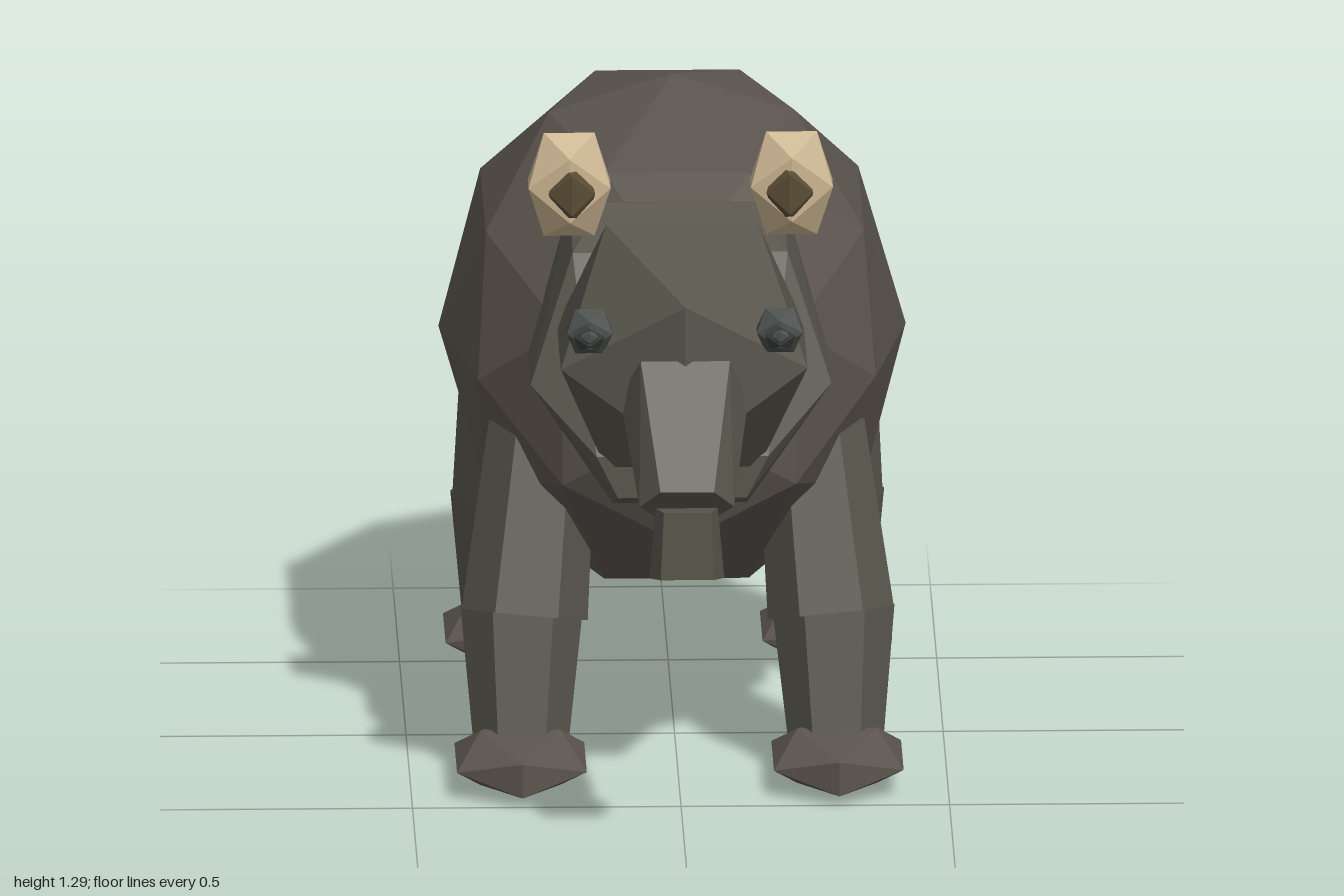
import * as THREE from 'three';
import { ConvexGeometry } from 'three/addons/geometries/ConvexGeometry.js';

function material(name, color) {
  const m = new THREE.MeshStandardMaterial({ color, flatShading: true });
  m.name = name;
  return m;
}

export function createModel() {
  const model = new THREE.Group();
  model.name = 'tapir';

  const hide = material('warm grey hide', 0x5b544e);
  const limb = material('olive grey hide', 0x58564c);
  const earTan = material('ear tan', 0xcbb591);
  const earDark = material('inner ear brown', 0x594c34);
  const eyeGrey = material('eye grey', 0x4b4f4b);
  const pupilGrey = material('pupil dark grey', 0x3c403f);

  function add(name, geometry, mat, parent = model) {
    const mesh = new THREE.Mesh(geometry, mat);
    mesh.name = name;
    parent.add(mesh);
    return mesh;
  }

  // Faceted ball stretched to the given radii
  function ball(name, mat, pos, radii, detail = 0, parent = model) {
    const mesh = add(name, new THREE.IcosahedronGeometry(1, detail), mat, parent);
    mesh.position.set(...pos);
    mesh.scale.set(...radii);
    return mesh;
  }

  // Six-sided tapered limb between two points, flat side to the front
  function taper(name, mat, top, bottom, rTop, rBottom, parent = model) {
    const a = new THREE.Vector3(...top), b = new THREE.Vector3(...bottom);
    const axis = a.clone().sub(b);
    const geometry = new THREE.CylinderGeometry(rTop, rBottom, axis.length(), 6).rotateY(Math.PI / 6);
    const mesh = add(name, geometry, mat, parent);
    mesh.position.copy(a).add(b).multiplyScalar(0.5);
    mesh.quaternion.setFromUnitVectors(new THREE.Vector3(0, 1, 0), axis.normalize());
    return mesh;
  }

  // Convex block from corner points mirrored across x
  function mirroredHull(name, mat, corners) {
    const points = corners.flatMap(([x, y, z]) => [
      new THREE.Vector3(x, y, z), new THREE.Vector3(-x, y, z),
    ]);
    return add(name, new ConvexGeometry(points), mat);
  }

  // Trunk of the body, neck and head
  ball('body', hide, [0, 0.735, -0.2], [0.435, 0.485, 0.7], 1);
  mirroredHull('neck', limb, [
    [0.2, 1.085, 0.2], [0.2, 1.0, 0.2], [0.14, 1.11, 0.29], [0.2, 1.05, 0.42],
    [0.23, 0.935, 0.42], [0.28, 0.815, 0.49], [0.28, 0.82, 0.29],
    [0.16, 0.71, 0.615], [0.12, 0.63, 0.615], [0.125, 0.56, 0.4],
  ]);
  ball('head', limb, [0, 0.915, 0.585], [0.27, 0.277, 0.295]);

  // Drooping snout in two segments
  mirroredHull('snout', limb, [
    [0.083, 0.955, 0.83], [0.12, 0.87, 0.76], [0.07, 0.82, 0.73],
    [0.05, 0.744, 0.98], [0.088, 0.705, 0.94], [0.05, 0.67, 0.9],
  ]);
  mirroredHull('snoutTip', limb, [
    [0.044, 0.71, 1.0], [0.058, 0.7, 0.93], [0.045, 0.69, 0.86],
    [0.05, 0.58, 1.0], [0.07, 0.567, 0.94], [0.045, 0.556, 0.88],
  ]);

  taper('tail', limb, [0, 0.745, -0.84], [0, 0.645, -0.985], 0.034, 0.028);

  for (const [side, s] of [['left', 1], ['right', -1]]) {
    // Ears
    const ear = new THREE.Group();
    ear.name = `${side}Ear`;
    ball('outerEar', earTan, [s * 0.207, 1.19, 0.445], [0.09, 0.117, 0.06], 0, ear);
    ball('innerEar', earDark, [s * 0.203, 1.183, 0.463], [0.051, 0.073, 0.05], 0, ear);
    model.add(ear);

    // Eyes
    const eye = new THREE.Group();
    eye.name = `${side}Eye`;
    ball('eyeball', eyeGrey, [s * 0.177, 0.997, 0.768], [0.05, 0.05, 0.038], 0, eye);
    ball('iris', pupilGrey, [s * 0.178, 0.995, 0.785], [0.034, 0.034, 0.026], 0, eye);
    ball('pupil', eyeGrey, [s * 0.178, 0.995, 0.799], [0.018, 0.018, 0.015], 0, eye);
    model.add(eye);

    // Front leg
    const front = new THREE.Group();
    front.name = `${side}FrontLeg`;
    taper('upperLeg', limb, [s * 0.25, 0.64, 0.15], [s * 0.285, 0.3, 0.24], 0.1, 0.118, front);
    taper('lowerLeg', limb, [s * 0.29, 0.31, 0.225], [s * 0.293, 0.08, 0.29], 0.114, 0.09, front);
    ball('foot', hide, [s * 0.295, 0.053, 0.345], [0.142, 0.062, 0.194], 0, front);
    model.add(front);

    // Hind leg
    const hind = new THREE.Group();
    hind.name = `${side}HindLeg`;
    taper('upperLeg', limb, [s * 0.27, 0.56, -0.5], [s * 0.285, 0.3, -0.55], 0.118, 0.116, hind);
    taper('lowerLeg', limb, [s * 0.29, 0.31, -0.57], [s * 0.293, 0.08, -0.59], 0.114, 0.09, hind);
    ball('foot', hide, [s * 0.295, 0.053, -0.54], [0.142, 0.062, 0.194], 0, hind);
    model.add(hind);
  }

  return model;
}
